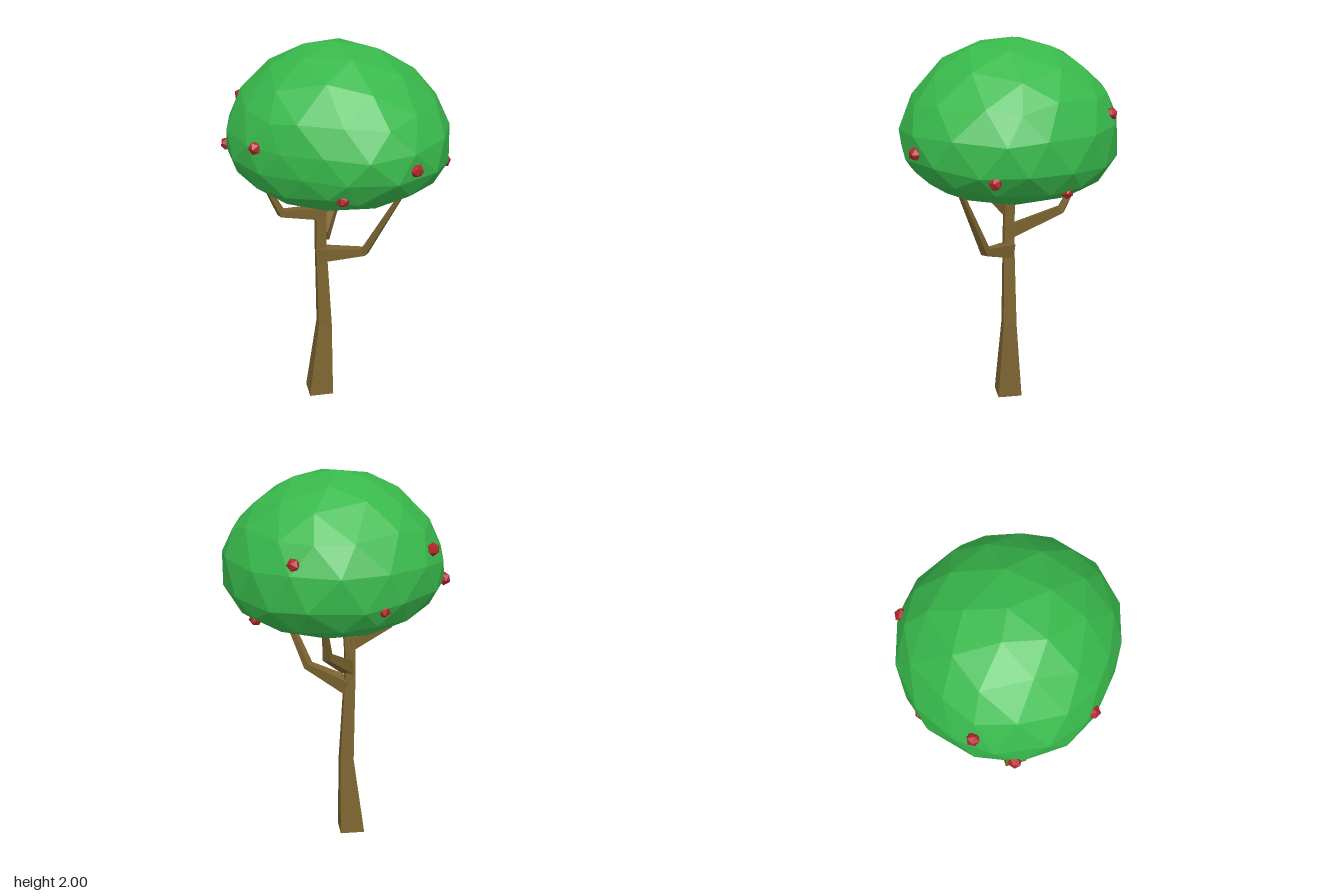
import * as THREE from 'three';

const mat = (color) => new THREE.MeshStandardMaterial({ color, flatShading: true });

// Square-section limb lofted along points [x, y, z, halfWidth]
function limb(points, upright) {
  const path = points.map((p) => new THREE.Vector3(p[0], p[1], p[2]));
  const last = path.length - 1;
  const run = path[last].clone().sub(path[0]).setY(0).normalize();
  const side = upright ? new THREE.Vector3(1, 0, 0) : new THREE.Vector3(run.z, 0, -run.x);
  const pos = [], idx = [];
  path.forEach((p, i) => {
    const t = new THREE.Vector3();
    if (upright) t.set(0, 1, 0);
    else {
      if (i > 0) t.add(path[i].clone().sub(path[i - 1]).normalize());
      if (i < last) t.add(path[i + 1].clone().sub(path[i]).normalize());
      t.normalize();
    }
    const up = new THREE.Vector3().crossVectors(t, side).normalize();
    for (const [a, b] of [[1, 1], [-1, 1], [-1, -1], [1, -1]]) {
      const v = p.clone().addScaledVector(side, a * points[i][3]).addScaledVector(up, b * points[i][3]);
      pos.push(v.x, v.y, v.z);
    }
  });
  for (let i = 0; i < last; i++) {
    for (let k = 0; k < 4; k++) {
      const a = i * 4 + k, b = i * 4 + (k + 1) % 4;
      idx.push(a, b, b + 4, a, b + 4, a + 4);
    }
  }
  const e = last * 4;
  idx.push(0, 2, 1, 0, 3, 2, e, e + 1, e + 2, e, e + 2, e + 3);
  const g = new THREE.BufferGeometry();
  g.setAttribute('position', new THREE.Float32BufferAttribute(pos, 3));
  g.setIndex(idx);
  const flat = g.toNonIndexed();
  flat.computeVertexNormals();
  return flat;
}

// Repeatable wobble in -1..1 for a direction, so shared corners stay together
const wobble = (d, seed) => Math.sin(d.x * 37 + d.y * 53 + d.z * 41 + seed * 7);

// Soft weight, 1 along the horizontal direction (x, z) and fading away from it
const toward = (n, x, z) => Math.exp(-5.5 * (1 - (n.x * x + n.z * z)));

// Faceted dome: tall above its widest ring, flatter below, slimmer toward front and right
function crownGeometry() {
  const g = new THREE.IcosahedronGeometry(1, 2);
  g.rotateZ(-0.5536); // brings a corner to the top
  const p = g.attributes.position, d = new THREE.Vector3(), n = new THREE.Vector3();
  for (let i = 0; i < p.count; i++) {
    d.fromBufferAttribute(p, i).normalize();
    n.set(d.x + 0.04 * wobble(d, 1), d.y + 0.03 * wobble(d, 2), d.z + 0.04 * wobble(d, 3)).normalize();
    const r = 0.572 - 0.065 * toward(n, -0.6, 0.8) + 0.03 * toward(n, 0.67, 0.74);
    const y = n.y > 0
      ? 0.472 * Math.pow(n.y, 1.2 + 0.12 * n.z)
      : -0.35 * Math.pow(-n.y, 0.81 + 0.12 * (n.z - n.x));
    p.setXYZ(i, n.x * r, 1.53 + y, n.z * r);
  }
  g.computeVertexNormals();
  return g;
}

export function createModel() {
  const tree = new THREE.Group();
  tree.name = 'tree';
  const bark = mat(0x7c6430), leaf = mat(0x38b94c), red = mat(0xb0262c);
  const add = (name, geometry, material) => {
    const m = new THREE.Mesh(geometry, material);
    m.name = name;
    tree.add(m);
    return m;
  };

  // Trunk, flared at the base
  add('trunk', limb([
    [-0.09, 0, -0.02, 0.065], [-0.062, 0.43, -0.02, 0.036], [-0.075, 0.8, -0.02, 0.029],
    [-0.08, 0.92, -0.02, 0.027], [-0.078, 1.05, -0.022, 0.027], [-0.055, 1.28, -0.027, 0.02],
  ], true), bark);

  // Bent branches reaching up into the crown
  [
    ['frontBranch', [[-0.078, 0.847, -0.02, 0.038], [0.125, 0.917, 0.135, 0.02], [0.27, 1.27, 0.275, 0.011]]],
    ['backBranch', [[-0.07, 0.955, -0.02, 0.034], [0.07, 1.11, -0.27, 0.021], [0.09, 1.27, -0.345, 0.012]]],
    ['sideBranch', [[-0.07, 1.088, -0.02, 0.034], [-0.3, 1.15, 0.085, 0.019], [-0.38, 1.32, 0.115, 0.011]]],
  ].forEach(([name, pts]) => add(name, limb(pts, false), bark));

  add('crown', crownGeometry(), leaf);

  // Fruit scattered around the crown
  const fruit = new THREE.IcosahedronGeometry(0.035, 0);
  [
    [0.29, 1.5, 0.5], [0.53, 1.4, 0.15], [0.42, 1.31, -0.22],
    [0.252, 1.65, -0.475], [-0.44, 1.66, -0.315], [-0.54, 1.46, -0.145],
    [-0.445, 1.58, 0.265], [-0.06, 1.365, 0.475], [-0.17, 1.42, -0.505],
  ].forEach((c, i) => {
    const m = add('fruit' + (i + 1), fruit, red);
    m.position.set(...c);
    m.rotation.set(i * 1.3, i * 2.1, i * 0.7);
  });
  return tree;
}
